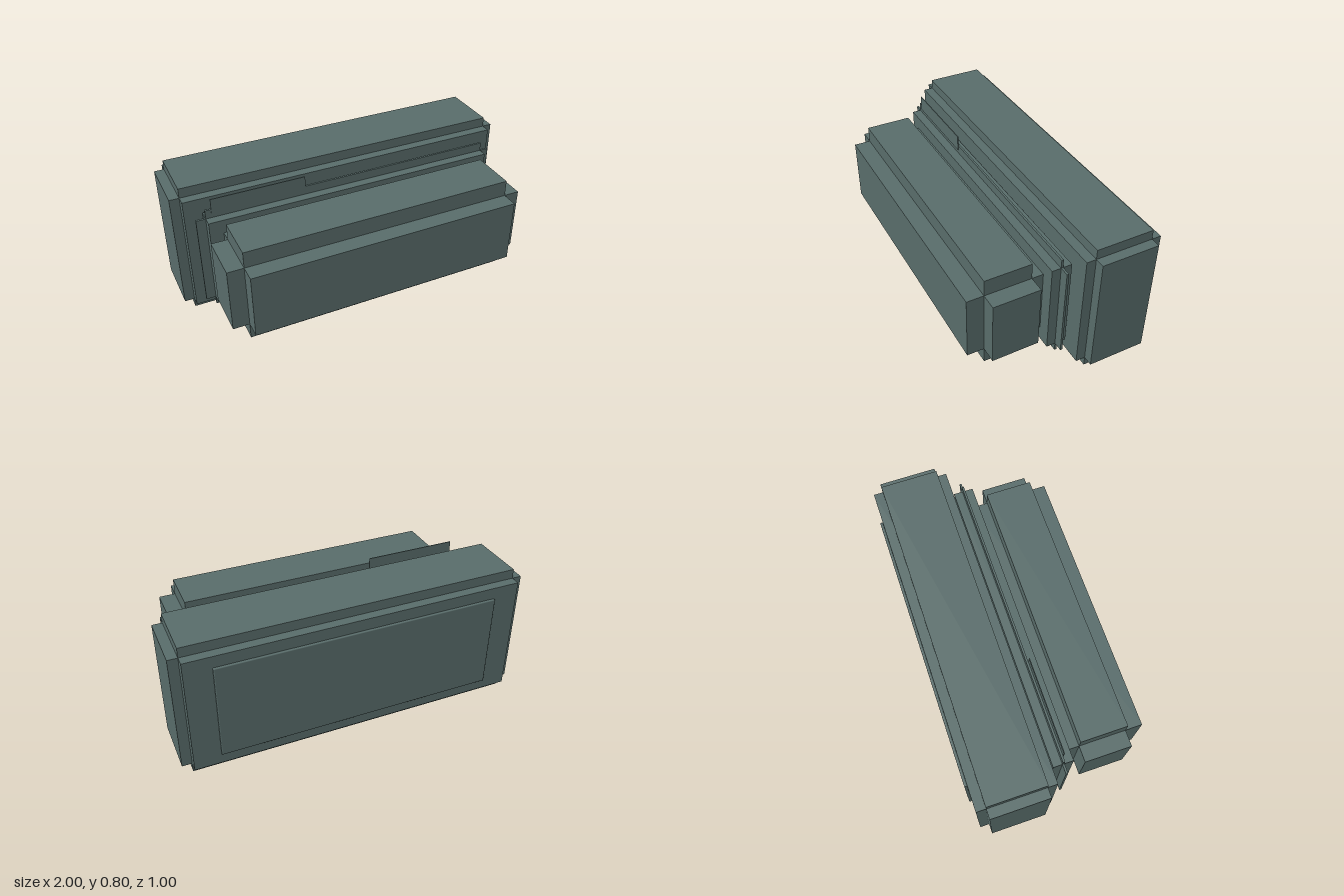
import * as THREE from 'three';
import { RoundedBoxGeometry } from 'three/addons/geometries/RoundedBoxGeometry.js';

const material = new THREE.MeshStandardMaterial({ color: 0x5a6e6c });
const CENTER_Y = 0.401;

function addMesh(parent, name, geometry, x, y, z) {
  const mesh = new THREE.Mesh(geometry, material);
  mesh.name = name;
  mesh.position.set(x, y, z);
  parent.add(mesh);
}

// Block with notched edges: three crossing boxes, each reaching full size along one axis.
// outer and inner are [width, height, depth].
function notchedBlock(name, outer, inner, z) {
  const block = new THREE.Group();
  block.name = name;
  ['sideSlab', 'uprightSlab', 'depthSlab'].forEach((slabName, axis) => {
    const size = inner.map((s, i) => (i === axis ? outer[i] : s));
    addMesh(block, slabName, new THREE.BoxGeometry(...size), 0, 0, 0);
  });
  block.position.set(0, CENTER_Y, z);
  return block;
}

export function createModel() {
  const model = new THREE.Group();
  model.name = 'steppedCase';

  // Large rear body, thin middle gasket and smaller front body
  model.add(notchedBlock('rearBody', [2, 0.802, 0.433], [1.89, 0.69, 0.326], -0.268));
  model.add(notchedBlock('middlePlate', [1.802, 0.63, 0.113], [1.696, 0.53, 0.012], 0.0185));
  model.add(notchedBlock('frontBody', [1.728, 0.56, 0.455], [1.546, 0.372, 0.265], 0.2725));

  // Thin tab standing above the middle plate, on the model's right
  addMesh(model, 'tab', new THREE.BoxGeometry(0.53, 0.09, 0.005), -0.55, 0.735, 0.027);

  // Shallow panel with softened edges on the back
  addMesh(model, 'backPanel', new RoundedBoxGeometry(1.594, 0.562, 0.016, 3, 0.006), 0, CENTER_Y, -0.492);

  return model;
}
